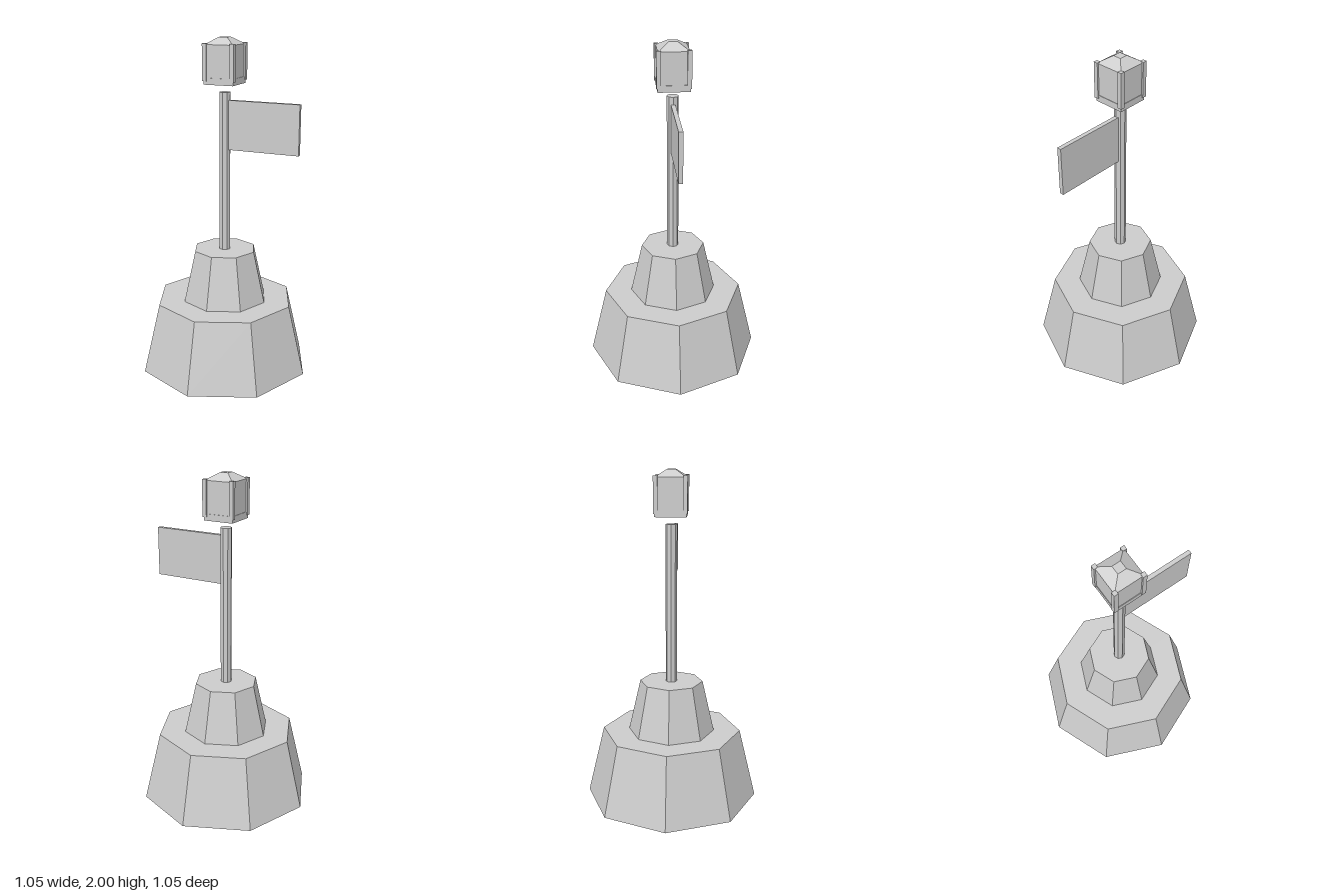
import * as THREE from 'three';

export function createModel() {
  const model = new THREE.Group();
  model.name = 'signpostLantern';
  const grey = new THREE.MeshStandardMaterial({ color: 0xcccccc, flatShading: true });
  grey.name = 'light grey';

  const add = (name, geometry, x, y, z, parent = model) => {
    const mesh = new THREE.Mesh(geometry, grey);
    mesh.name = name;
    mesh.position.set(x, y, z);
    parent.add(mesh);
    return mesh;
  };
  // Tapered prism standing between two heights
  const prism = (name, rTop, rBottom, y0, y1, sides = 8, parent = model) =>
    add(name, new THREE.CylinderGeometry(rTop, rBottom, y1 - y0, sides), 0, (y0 + y1) / 2, 0, parent);
  // Box centred on x and z between two heights
  const block = (name, width, y0, y1, parent, x = 0, z = 0) =>
    add(name, new THREE.BoxGeometry(width, y1 - y0, width), x, (y0 + y1) / 2, z, parent);

  // Stepped octagonal base and pole
  prism('lowerBase', 0.422, 0.525, 0, 0.425);
  prism('upperBase', 0.19, 0.262, 0.425, 0.74);
  prism('pole', 0.034, 0.034, 0.74, 1.69);

  // Sign board on the model's left
  add('signBoard', new THREE.BoxGeometry(0.435, 0.29, 0.025), 0.2425, 1.5, 0);

  // Lantern floating just above the pole
  const lantern = new THREE.Group();
  lantern.name = 'lantern';
  model.add(lantern);
  block('lanternFloor', 0.182, 1.737, 1.775, lantern);
  block('lanternPanes', 0.176, 1.775, 1.96, lantern);
  const roof = prism('lanternRoof', 0.025 * Math.SQRT2, 0.088 * Math.SQRT2, 1.96, 2, 4, lantern);
  roof.rotation.y = Math.PI / 4;
  for (const x of [-1, 1]) {
    for (const z of [-1, 1]) {
      block('lanternCornerPost', 0.025, 1.757, 1.967, lantern, x * 0.085, z * 0.085);
    }
  }
  return model;
}
